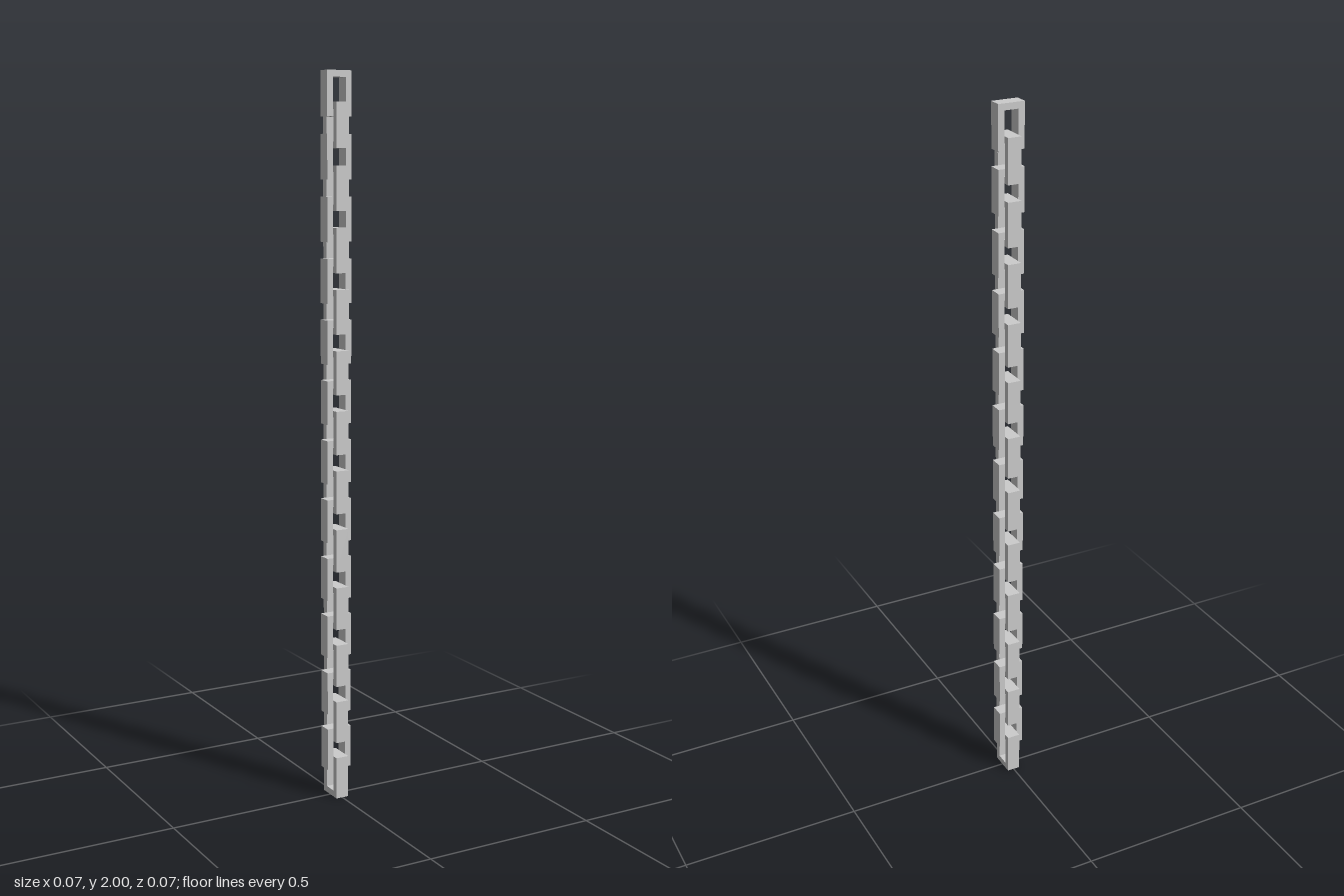
import * as THREE from 'three';

const LINKS = 24;
const LENGTH = 0.119, WIDTH = 0.0735, DEPTH = 0.0375, BAR = 0.0175;
const PITCH = (2 - LENGTH) / (LINKS - 1);

// Rectangular outline centred on the origin
function rectangle(path, w, h) {
  path.moveTo(-w / 2, -h / 2);
  path.lineTo(w / 2, -h / 2);
  path.lineTo(w / 2, h / 2);
  path.lineTo(-w / 2, h / 2);
  path.closePath();
  return path;
}

// One square-cornered link: a rectangular frame with an open middle
function linkGeometry() {
  const frame = rectangle(new THREE.Shape(), WIDTH, LENGTH);
  frame.holes.push(rectangle(new THREE.Path(), WIDTH - 2 * BAR, LENGTH - 2 * BAR));
  const geometry = new THREE.ExtrudeGeometry(frame, { depth: DEPTH, bevelEnabled: false });
  return geometry.translate(0, 0, -DEPTH / 2);
}

export function createModel() {
  const chain = new THREE.Group();
  chain.name = 'chain';
  const material = new THREE.MeshStandardMaterial({ color: 0xcccccc, flatShading: true });
  const geometry = linkGeometry();

  // Interlocking links from the bottom up, each a quarter turn from the last
  for (let i = 0; i < LINKS; i++) {
    const link = new THREE.Mesh(geometry, material);
    link.name = `chainLink${i + 1}`;
    link.position.y = LENGTH / 2 + i * PITCH;
    link.rotation.y = i % 2 === 0 ? Math.PI / 2 : 0;
    chain.add(link);
  }
  return chain;
}
